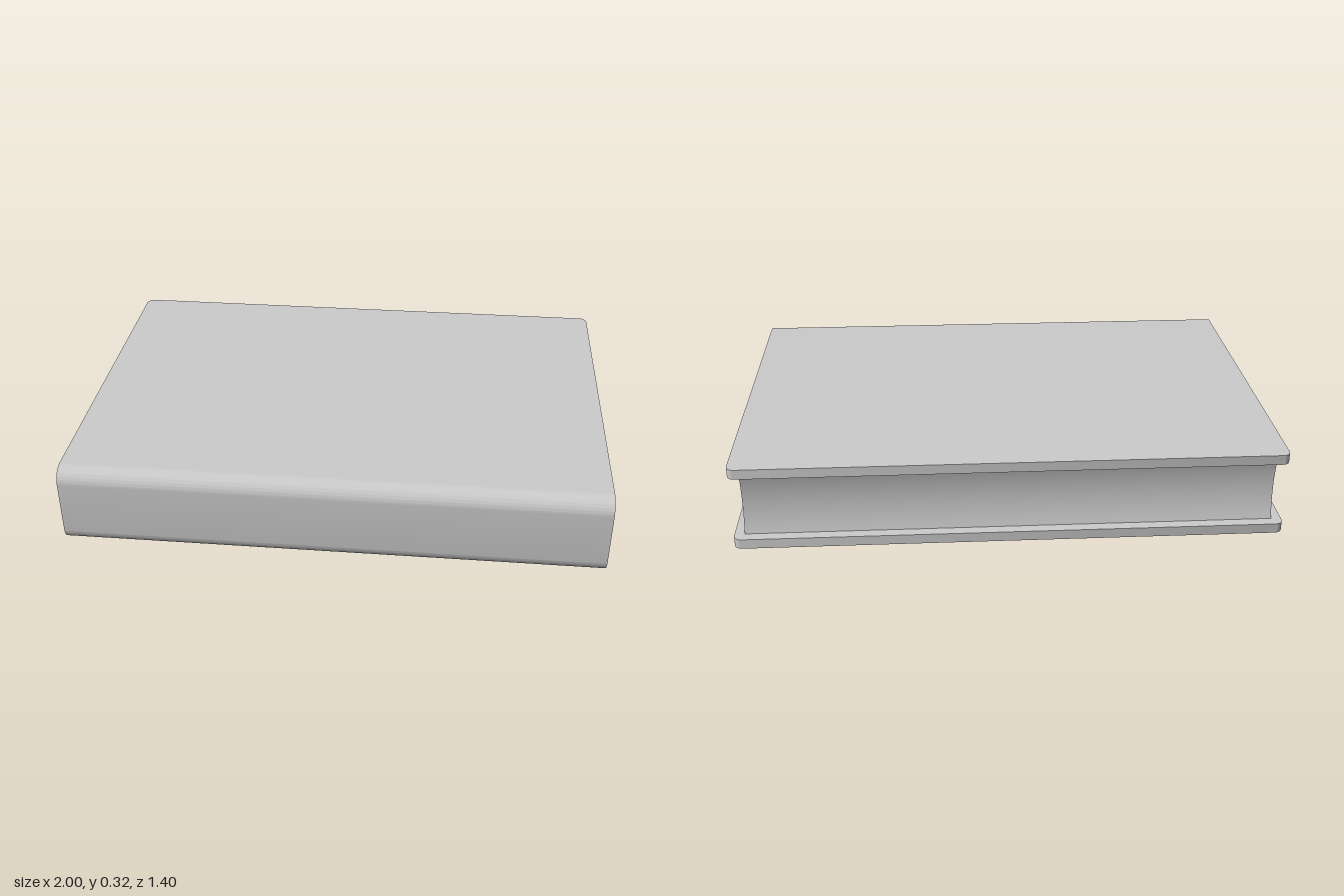
import * as THREE from 'three';
import { toCreasedNormals } from 'three/addons/utils/BufferGeometryUtils.js';

const H = 0.32;        // book thickness
const D = 0.70;        // half depth, spine at +z
const T = 0.037;       // board thickness
const R = 0.06;        // outer spine radius
const RI = 0.02;       // inner spine radius
const C = 0.03;        // rounded corners of the boards
const INSET = 0.037;   // pages set back from the board ends

const material = new THREE.MeshStandardMaterial({ color: 0xcccccc });

function extrude(shape, depth) {
  const geo = new THREE.ExtrudeGeometry(shape, { depth, bevelEnabled: false, curveSegments: 12 });
  return geo.translate(0, 0, -depth / 2);
}

function part(name, geo) {
  const mesh = new THREE.Mesh(toCreasedNormals(geo, 0.6), material);
  mesh.name = name;
  return mesh;
}

export function createModel() {
  const book = new THREE.Group();
  book.name = 'book';

  // Cover: U-shaped side profile (shape x runs towards the back) extruded along the spine
  const cover = new THREE.Shape();
  cover.moveTo(D - C, 0);
  cover.lineTo(D - C, T);
  cover.lineTo(-D + T + RI, T);
  cover.absarc(-D + T + RI, T + RI, RI, -Math.PI / 2, -Math.PI, true);
  cover.lineTo(-D + T, H - T - RI);
  cover.absarc(-D + T + RI, H - T - RI, RI, Math.PI, Math.PI / 2, true);
  cover.lineTo(D - C, H - T);
  cover.lineTo(D - C, H);
  cover.lineTo(-D + R, H);
  cover.absarc(-D + R, H - R, R, Math.PI / 2, Math.PI, false);
  cover.lineTo(-D, R);
  cover.absarc(-D + R, R, R, Math.PI, Math.PI * 1.5, false);
  cover.closePath();
  book.add(part('cover', extrude(cover, 2).rotateY(Math.PI / 2)));

  // Rounded fore edge of both boards
  const edge = new THREE.Shape();
  edge.moveTo(-1, D - C);
  edge.lineTo(1, D - C);
  edge.absarc(1 - C, D - C, C, 0, Math.PI / 2, false);
  edge.absarc(-1 + C, D - C, C, Math.PI / 2, Math.PI, false);
  for (const [name, y] of [['lowerBoardEdge', T / 2], ['upperBoardEdge', H - T / 2]]) {
    book.add(part(name, extrude(edge, T).rotateX(-Math.PI / 2).translate(0, y, 0)));
  }

  // Page block with a hollow fore edge, rounded where it meets the spine
  const pages = new THREE.Shape();
  pages.moveTo(-D + T + RI, T);
  pages.lineTo(0.66, T);
  pages.quadraticCurveTo(0.624, H / 2, 0.66, H - T);
  pages.lineTo(-D + T + RI, H - T);
  pages.absarc(-D + T + RI, H - T - RI, RI, Math.PI / 2, Math.PI, false);
  pages.lineTo(-D + T, T + RI);
  pages.absarc(-D + T + RI, T + RI, RI, Math.PI, Math.PI * 1.5, false);
  book.add(part('pages', extrude(pages, 2 - 2 * INSET).rotateY(Math.PI / 2)));

  return book;
}
